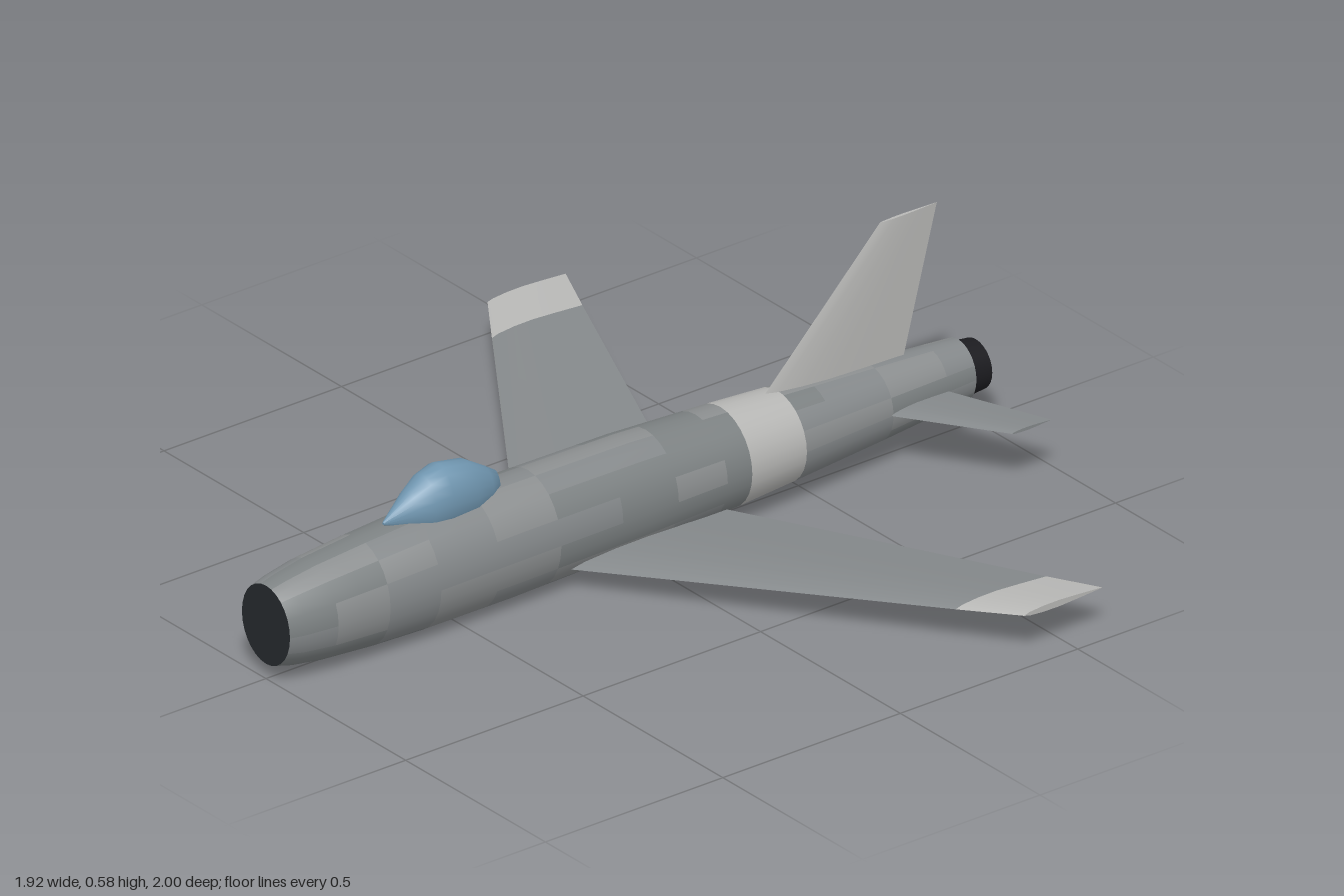
import * as THREE from 'three';
import { toCreasedNormals } from 'three/addons/utils/BufferGeometryUtils.js';

const GREY = 0x85898b, PALE = 0xb8b8b6, DARK = 0x24282c;
const SIDES = 28;

const mat = (color) => new THREE.MeshStandardMaterial({ color });

function addMesh(parent, name, geometry, color) {
  const m = new THREE.Mesh(geometry, mat(color));
  m.name = name;
  parent.add(m);
  return m;
}

// Skin a list of closed rings of [x, y, z]; caps close both ends.
function loft(rings, caps = true) {
  const n = rings[0].length, pos = rings.flat(2), index = [];
  for (let i = 0; i < rings.length - 1; i++) {
    for (let j = 0; j < n; j++) {
      const a = i * n + j, b = i * n + (j + 1) % n;
      index.push(a, a + n, b, b, a + n, b + n);
    }
  }
  if (caps) {
    const last = (rings.length - 1) * n;
    for (let j = 1; j < n - 1; j++) {
      index.push(0, j, j + 1, last, last + j + 1, last + j);
    }
  }
  const g = new THREE.BufferGeometry();
  g.setAttribute('position', new THREE.Float32BufferAttribute(pos, 3));
  g.setIndex(index);
  g.computeVertexNormals();
  return g;
}

// Ellipse across the body: station is [z, bottom, top, halfWidth]
function ellipse([z, bottom, top, rx], sides = SIDES) {
  const cy = (bottom + top) / 2, ry = (top - bottom) / 2, ring = [];
  for (let j = 0; j < sides; j++) {
    const t = (j / sides) * Math.PI * 2;
    ring.push([rx * Math.cos(t), cy + ry * Math.sin(t), z]);
  }
  return ring;
}

// Thin aerofoil: [position from trailing (0) to leading edge (1), thickness]
const FOIL = [[1, 0], [0.93, 0.55], [0.75, 0.95], [0.55, 1], [0.3, 0.62], [0, 0.06],
  [0, -0.06], [0.3, -0.62], [0.55, -1], [0.75, -0.95], [0.93, -0.55]];

// Section: { x, y, le, te, half }; side is +1 / -1, or 0 for an upright fin
function foilRing({ x, y, le, te, half }, side) {
  return FOIL.map(([u, v]) => {
    const z = te + (le - te) * u;
    return side ? [side * x, y + side * v * half, z] : [x - v * half, y, z];
  });
}

const panel = (sections, side) =>
  toCreasedNormals(loft(sections.map((s) => foilRing(s, side))), 0.6);

function buildFuselage(group) {
  const stations = [
    [1, 0.04, 0.235, 0.086], [0.96, 0.03, 0.245, 0.096], [0.88, 0.019, 0.259, 0.108],
    [0.74, 0.009, 0.272, 0.116], [0.6, 0.004, 0.282, 0.12], [0.35, 0.003, 0.288, 0.121],
    [0, 0.011, 0.284, 0.12], [-0.28, 0.027, 0.27, 0.115], [-0.44, 0.038, 0.26, 0.107],
    [-0.7, 0.055, 0.242, 0.087], [-0.95, 0.074, 0.224, 0.066],
  ];
  // Subdivide the long spans
  const fine = [stations[0]];
  for (let i = 1; i < stations.length; i++) {
    const p = stations[i - 1], q = stations[i];
    const k = Math.max(1, Math.round((p[0] - q[0]) / 0.08));
    for (let s = 1; s <= k; s++) fine.push(p.map((v, c) => v + (q[c] - v) * s / k));
  }
  const skin = loft(fine.map((s) => ellipse(s)), false);

  // Sort the skin panels into slightly different greys and the pale band
  const tones = [0x7d8283, GREY, 0x8c8f90, PALE];
  const names = ['fuselageDarkPanels', 'fuselagePanels', 'fuselageLightPanels', 'fuselageBand'];
  const lists = tones.map(() => []);
  const src = skin.getIndex().array;
  for (let i = 0; i < fine.length - 1; i++) {
    const mid = (fine[i][0] + fine[i + 1][0]) / 2;
    for (let j = 0; j < SIDES; j++) {
      const h = Math.sin((i >> 1) * 12.99 + (j >> 1) * 78.23) * 4375.85;
      const pick = mid < -0.28 && mid > -0.44 ? 3 : Math.floor((h - Math.floor(h)) * 3);
      const o = (i * SIDES + j) * 6;
      lists[pick].push(...src.slice(o, o + 6));
    }
  }
  lists.forEach((list, k) => {
    const g = new THREE.BufferGeometry();
    g.setAttribute('position', skin.getAttribute('position'));
    g.setAttribute('normal', skin.getAttribute('normal'));
    g.setIndex(list);
    addMesh(group, names[k], g, tones[k]);
  });

  // Dark intake face and exhaust nozzle
  const intake = loft([ellipse([1, 0.04, 0.235, 0.086]), ellipse([0.985, 0.045, 0.23, 0.082])]);
  addMesh(group, 'intake', toCreasedNormals(intake, 0.6), DARK);
  const nozzle = loft([ellipse([-0.94, 0.083, 0.215, 0.064]), ellipse([-1, 0.088, 0.208, 0.059])]);
  addMesh(group, 'exhaustNozzle', toCreasedNormals(nozzle, 0.6), 0x1c1c20);
  const rim = loft([ellipse([-0.93, 0.074, 0.224, 0.064]), ellipse([-0.95, 0.074, 0.224, 0.066])]);
  addMesh(group, 'tailRim', toCreasedNormals(rim, 0.6), GREY);
}

function buildCanopy(group) {
  const stations = [[0.67, 0.28, 0.287, 0.003], [0.6, 0.245, 0.343, 0.037],
    [0.56, 0.225, 0.37, 0.053], [0.515, 0.22, 0.384, 0.06], [0.44, 0.22, 0.371, 0.055],
    [0.385, 0.235, 0.337, 0.036], [0.355, 0.25, 0.317, 0.02], [0.35, 0.26, 0.3, 0.014]];
  const g = loft(stations.map((s) => ellipse(s, 20)));
  addMesh(group, 'canopy', toCreasedNormals(g, 0.7), 0x7096b0);
}

function buildSurfaces(group) {
  const root = { x: 0.04, y: 0.06, le: 0.255, te: -0.215, half: 0.019 };
  const split = { x: 0.83, y: 0.1, le: -0.29, te: -0.545, half: 0.01 };
  const tip = { x: 0.96, y: 0.108, le: -0.38, te: -0.6, half: 0.008 };
  const tailRoot = { x: 0.03, y: 0.15, le: -0.655, te: -0.85, half: 0.007 };
  const tailTip = { x: 0.32, y: 0.15, le: -0.85, te: -0.96, half: 0.004 };
  for (const [side, label] of [[1, 'left'], [-1, 'right']]) {
    addMesh(group, label + 'Wing', panel([root, split], side), GREY);
    addMesh(group, label + 'WingTip', panel([split, tip], side), PALE);
    addMesh(group, label + 'Tailplane', panel([tailRoot, tailTip], side), GREY);
  }
  const fin = [{ x: 0, y: 0.21, le: -0.355, te: -0.79, half: 0.013 },
    { x: 0, y: 0.585, le: -0.73, te: -0.89, half: 0.004 }];
  addMesh(group, 'tailFin', panel(fin, 0), PALE);
}

export function createModel() {
  const group = new THREE.Group();
  group.name = 'jetAircraft';
  buildFuselage(group);
  buildCanopy(group);
  buildSurfaces(group);
  return group;
}
